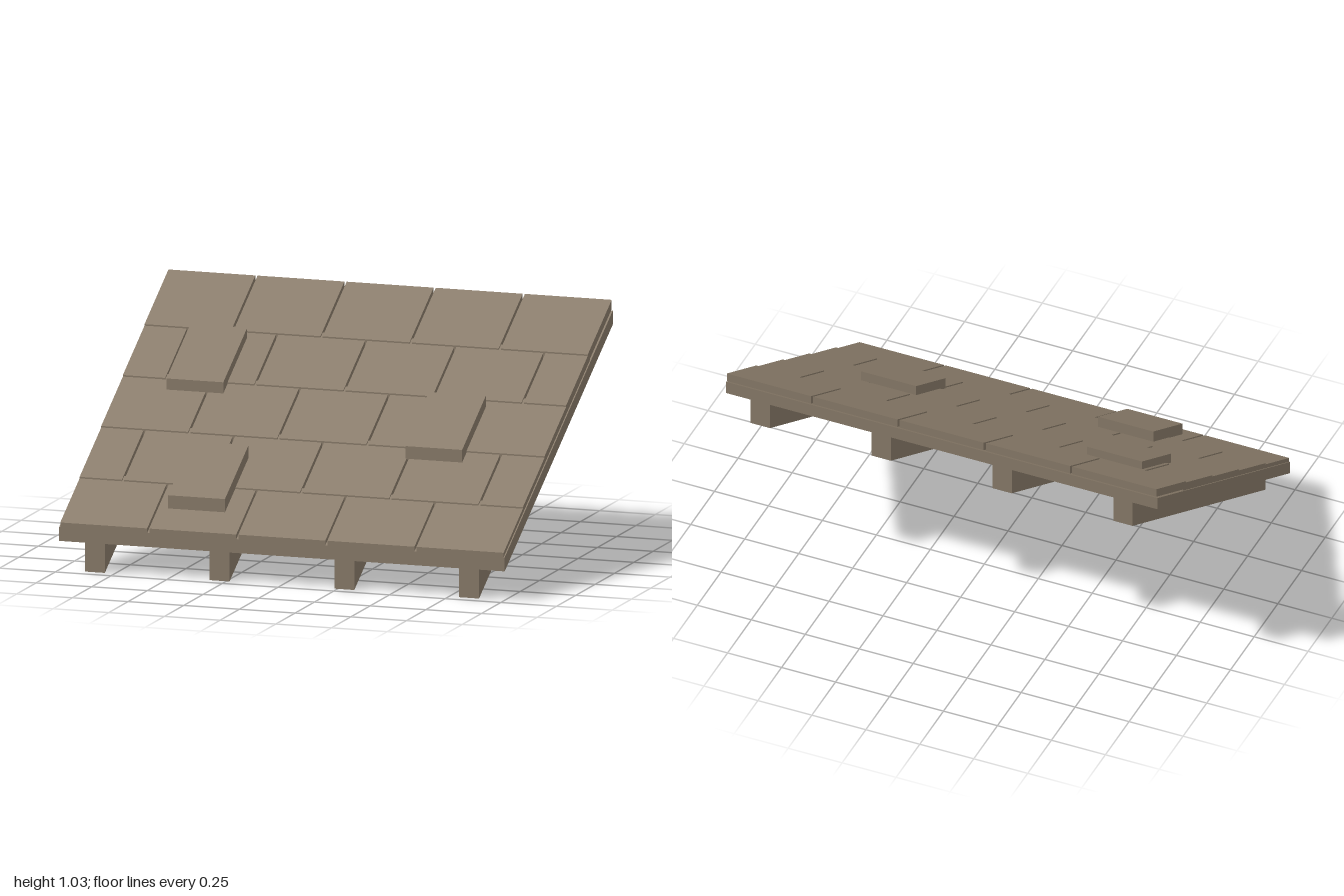
import * as THREE from 'three';

const SLOPE = 0.573; // rise per unit of depth towards the back
const EAVE = 0.7;    // z of the low front edge

export function createModel() {
  const roof = new THREE.Group();
  roof.name = 'slopedRoof';
  const wood = new THREE.MeshStandardMaterial({ color: 0x8b7d6b });
  wood.name = 'weatheredWood';

  // Box sheared along the slope, so its ends stay plumb.
  // low and high are heights above the underside of the rafters.
  function slopedBoard(name, x0, x1, z0, z1, low, high, parent = roof) {
    const geo = new THREE.BoxGeometry(x1 - x0, high - low, z1 - z0);
    geo.translate((x0 + x1) / 2, (low + high) / 2, (z0 + z1) / 2);
    const p = geo.attributes.position;
    for (let i = 0; i < p.count; i++) p.setY(i, p.getY(i) + (EAVE - p.getZ(i)) * SLOPE);
    const flat = geo.toNonIndexed();
    flat.computeVertexNormals();
    const mesh = new THREE.Mesh(flat, wood);
    mesh.name = name;
    parent.add(mesh);
  }

  // Rafters and deck
  for (const x of [-0.84, -0.28, 0.28, 0.84]) {
    slopedBoard('rafter', x - 0.045, x + 0.045, -EAVE, EAVE, 0, 0.125);
  }
  slopedBoard('deck', -1, 1, -EAVE, EAVE, 0.125, 0.185);

  // Five staggered shingle courses, each lapping slightly over the one below
  for (let row = 0; row < 5; row++) {
    const course = new THREE.Group();
    course.name = 'shingleCourse';
    roof.add(course);
    const front = EAVE - row * 0.28 + (row ? 0.03 : 0);
    const back = EAVE - (row + 1) * 0.28;
    const top = 0.205 + row * 0.0065;
    const start = row % 2 ? -1.2 : -1;
    for (let x = start; x < 0.99; x += 0.4) {
      const left = Math.max(x, -1) + 0.005;
      const right = Math.min(x + 0.4, 1) - 0.005;
      slopedBoard('shingle', left, right, back, front, top - 0.04, top, course);
    }
  }

  // Raised patches: [x0, x1, back, front]
  for (const [x0, x1, z0, z1] of [
    [-0.78, -0.525, -0.362, -0.055],
    [0.39, 0.645, -0.08, 0.227],
    [-0.55, -0.295, 0.28, 0.587],
  ]) slopedBoard('raisedPatch', x0, x1, z0, z1, 0.209, 0.266);

  return roof;
}
